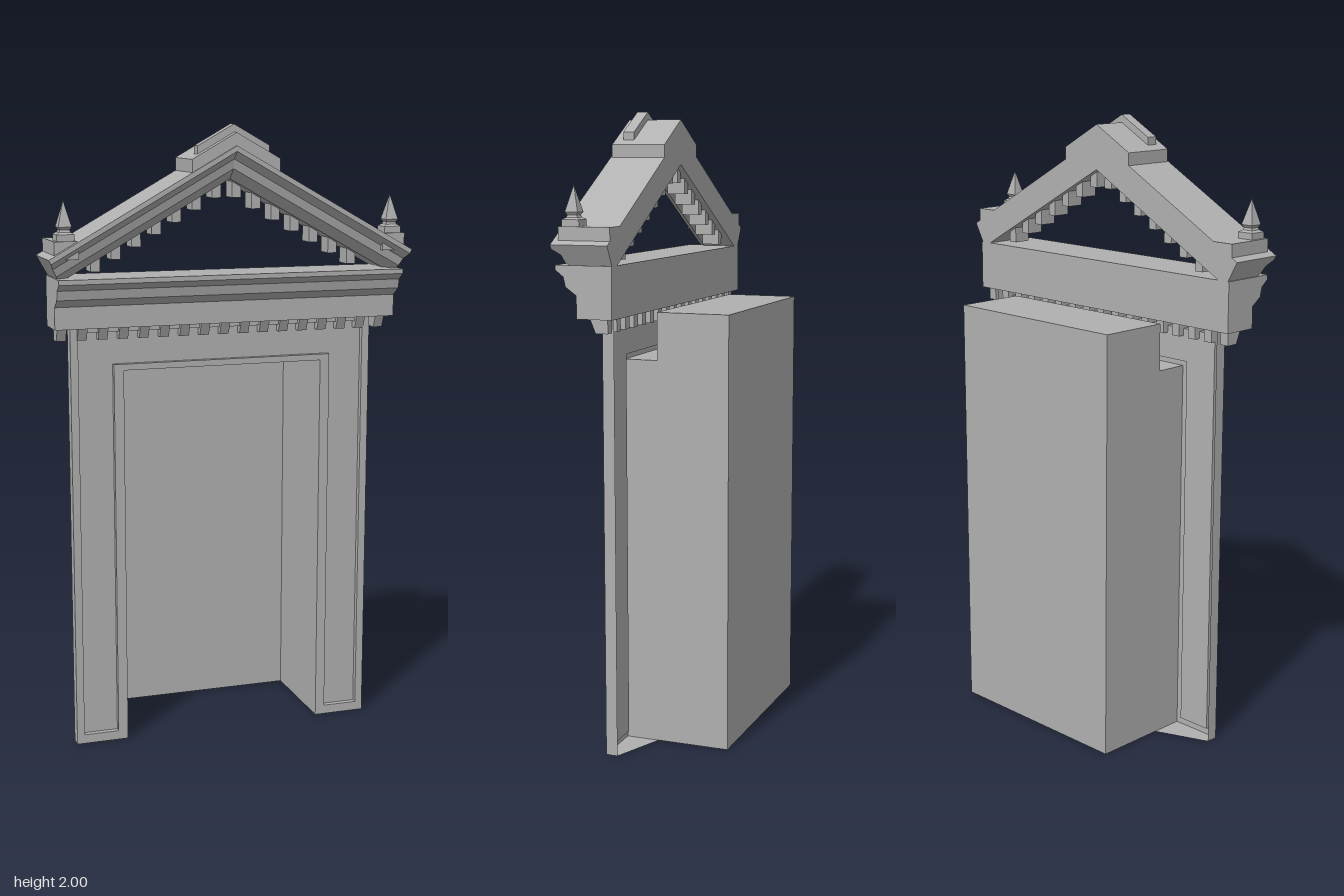
import * as THREE from 'three';

const stone = new THREE.MeshStandardMaterial({ color: 0xb0b0b0, side: THREE.DoubleSide });
stone.name = 'grey stone';

const SLOPE = 0.56;
const COS = 1 / Math.hypot(1, SLOPE), SIN = SLOPE * COS;

function fromTriangles(tris) {
  const g = new THREE.BufferGeometry();
  g.setAttribute('position', new THREE.Float32BufferAttribute(tris.flat(2), 3));
  g.computeVertexNormals();
  return g;
}

// Solid through a row of matching sections, ordered from -x to +x
function loft(rings) {
  const tris = [], n = rings[0].length;
  for (let i = 0; i + 1 < rings.length; i++) {
    for (let j = 0; j < n; j++) {
      const k = (j + 1) % n;
      const a = rings[i][j], b = rings[i][k], c = rings[i + 1][k], d = rings[i + 1][j];
      tris.push([a, b, c], [a, c, d]);
    }
  }
  const first = rings[0], last = rings[rings.length - 1];
  for (let j = 1; j + 1 < n; j++) {
    tris.push([first[0], first[j + 1], first[j]], [last[0], last[j], last[j + 1]]);
  }
  return fromTriangles(tris);
}

// Open band following an xy path between two depths
function ribbon(path, z0, z1) {
  const tris = [];
  for (let i = 0; i + 1 < path.length; i++) {
    const [x0, y0] = path[i], [x1, y1] = path[i + 1];
    const a = [x0, y0, z0], b = [x1, y1, z0], c = [x1, y1, z1], d = [x0, y0, z1];
    tris.push([a, b, c], [a, c, d]);
  }
  return fromTriangles(tris);
}

const toShape = pts => new THREE.Shape(pts.map(p => new THREE.Vector2(...p)));

// Gabled moulding; section points are [z, depth below the top]
function chevron(section, apex, halfWidth, squareCut) {
  const end = s => section.map(([z, t]) => squareCut
    ? [s * (halfWidth - SIN * t), apex - SLOPE * halfWidth - COS * t, z]
    : [s * halfWidth, apex - SLOPE * halfWidth - t, z]);
  const middle = section.map(([z, t]) => [0, apex - (squareCut ? t / COS : t), z]);
  return loft([end(-1), middle, end(1)]);
}

const slab = (z0, z1, t) => [[z0, 0], [z1, 0], [z1, t], [z0, t]];

export function createModel() {
  const root = new THREE.Group();
  root.name = 'pedimentedDoorway';
  const add = (name, geo, x = 0, y = 0, z = 0) => {
    const m = new THREE.Mesh(geo, stone);
    m.name = name;
    m.position.set(x, y, z);
    root.add(m);
    return m;
  };

  const W = 0.505, D = 0.333, H = 1.235, FRONT = 0.108, PANEL = 0.09;

  // Door surround with a sunken U-shaped panel
  const surround = toShape([[-W, 0], [-D, 0], [-D, H], [D, H], [D, 0], [W, 0], [W, 1.385], [-W, 1.385]]);
  const panel = [[-0.48, 0.03], [-0.365, 0.03], [-0.365, 1.255], [0.365, 1.255],
    [0.365, 0.03], [0.48, 0.03], [0.48, 1.36], [-0.48, 1.36]];
  surround.holes.push(toShape(panel));
  add('surroundFace', new THREE.ShapeGeometry(surround), 0, 0, FRONT);
  add('surroundPanel', new THREE.ShapeGeometry(toShape(panel)), 0, 0, PANEL);
  add('panelEdge', ribbon([...panel, panel[0]], PANEL, FRONT));

  // Jamb returns and their wedge-shaped feet
  for (const s of [-1, 1]) {
    add('jambReturn', ribbon([[s * W, 0], [s * W, 1.385]], 0.07, FRONT));
    const foot = new THREE.ShapeGeometry(toShape([[s * D, 0], [s * W, 0.07], [s * W, FRONT], [s * D, FRONT]]));
    add('jambFoot', foot.rotateX(Math.PI / 2));
  }

  // Opening and the hollow recess behind it
  add('reveal', ribbon([[-D, 0], [-D, H], [D, H], [D, 0]], 0, FRONT));
  add('recessShell', ribbon([[-D, 0], [-D, 1.385], [D, 1.385], [D, 0]], -0.235, 0));
  add('recessBack', new THREE.PlaneGeometry(2 * D, 1.385).rotateY(Math.PI), 0, 1.385 / 2, -0.235);
  add('recessHeader', new THREE.PlaneGeometry(2 * D, 1.385 - H), 0, (H + 1.385) / 2, 0);

  // Entablature
  const entablature = [[0.05, 1.54], [0.233, 1.54], [0.233, 1.525], [0.207, 1.505], [0.2, 1.475],
    [0.165, 1.45], [0.165, 1.38], [0.05, 1.38]];
  add('entablature', loft([-0.565, 0.565].map(x => entablature.map(([z, y]) => [x, y, z]))));

  // Tapered dentils under the entablature
  const dentil = [[0.07, 1.385], [0.13, 1.385], [0.11, 1.337], [0.07, 1.337]];
  for (let i = -8; i <= 8; i++) {
    const x = i * 0.0668;
    add('dentil', loft([x - 0.015, x + 0.015].map(u => dentil.map(([z, y]) => [u, y, z]))));
  }

  // Raking cornice
  const APEX = 1.935;
  add('rakingCornice', chevron([[0.05, 0], [0.235, 0], [0.235, 0.015], [0.207, 0.036],
    [0.2, 0.062], [0.165, 0.09], [0.05, 0.09]], APEX, 0.595, true));

  // Stepped dentils along the slopes
  for (let i = 0; i < 7; i++) {
    const x = 0.033 + i * 0.0655;
    const top = APEX - 0.09 - SLOPE * x;
    for (const s of [-1, 1]) add('rakingDentil', new THREE.BoxGeometry(0.03, 0.065, 0.06), s * x, top - 0.0225, 0.1);
  }

  // Stacked crown at the peak
  add('crownBlock', chevron(slab(0.05, 0.23, 0.045), 1.975, 0.143, false));
  add('crownCap', chevron(slab(0.165, 0.202, 0.03), 2.0, 0.117, false));

  // Corner pedestals with four-sided finials
  const profile = [[0, 0], [0.028, 0], [0.028, 0.02], [0.018, 0.026], [0.015, 0.033],
    [0.021, 0.042], [0, 0.122]].map(([r, y]) => new THREE.Vector2(r * Math.SQRT2, y));
  const finial = new THREE.LatheGeometry(profile, 4).rotateY(Math.PI / 4).toNonIndexed();
  finial.computeVertexNormals();
  for (const s of [-1, 1]) {
    add('pedestal', new THREE.BoxGeometry(0.076, 0.055, 0.168), s * 0.536, 1.6275, 0.134);
    add('finial', finial, s * 0.536, 1.655, 0.182);
  }
  return root;
}
